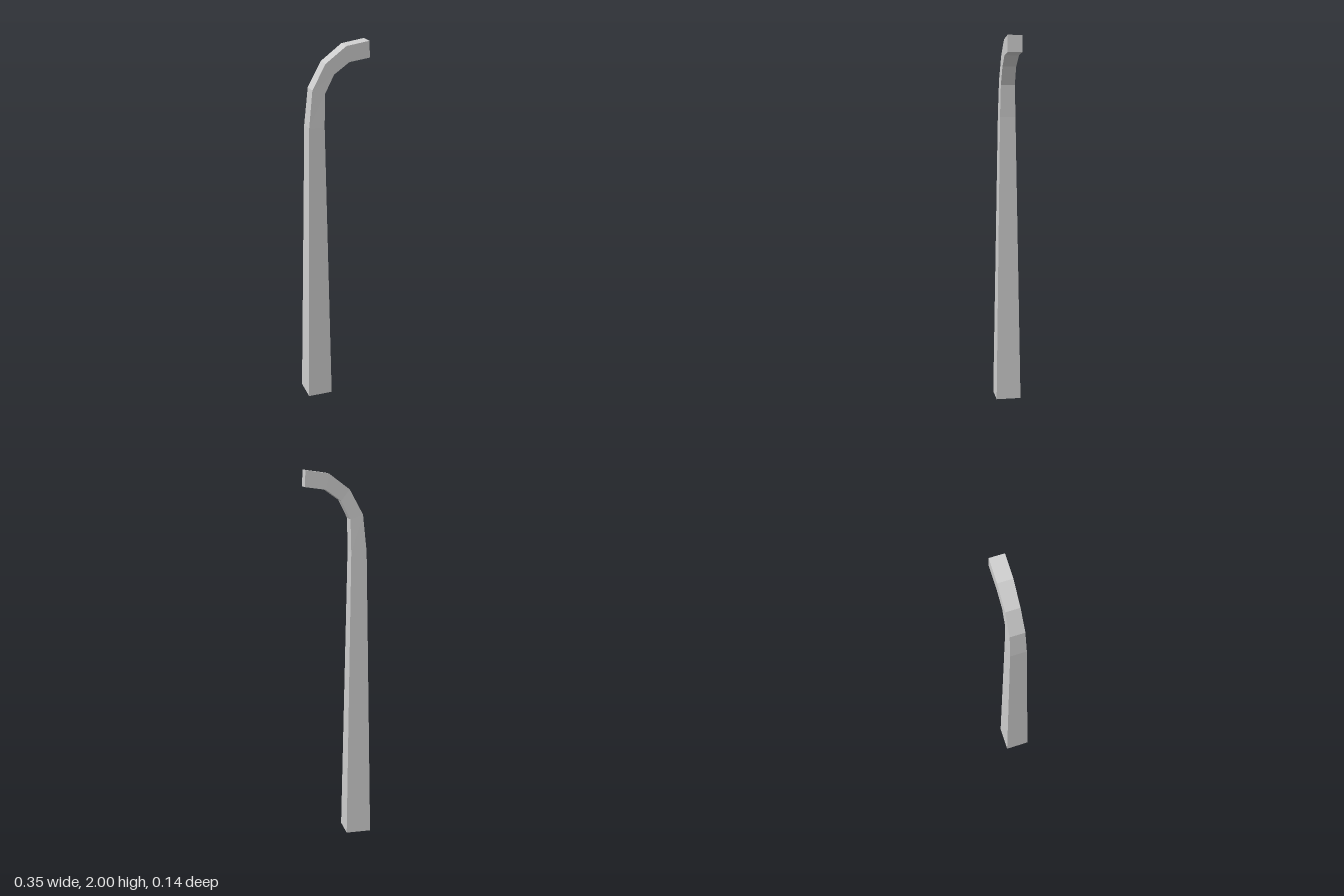
import * as THREE from 'three';

// Square cross-sections along the post: outer x, y, inner x, y, half depth
const sections = [
  [-0.177, 0, -0.041, 0, 0.068],
  [-0.151, 1.575, -0.068, 1.575, 0.042],
  [-0.131, 1.77, -0.064, 1.747, 0.038],
  [-0.06, 1.9, -0.015, 1.842, 0.0365],
  [0.05, 1.982, 0.066, 1.9, 0.038],
  [0.172, 2, 0.176, 1.915, 0.0385],
];

export function createModel() {
  const group = new THREE.Group();
  const points = [];
  const quad = (a, b, c, d) => points.push(...a, ...b, ...c, ...a, ...c, ...d);

  // Four corners of each section, counter-clockwise seen from the far end
  const rings = sections.map(([ox, oy, ix, iy, h]) => [
    [ox, oy, h], [ix, iy, h], [ix, iy, -h], [ox, oy, -h],
  ]);

  // Side walls between neighbouring sections
  for (let s = 0; s < rings.length - 1; s++) {
    for (let i = 0; i < 4; i++) {
      const j = (i + 1) % 4;
      quad(rings[s][i], rings[s][j], rings[s + 1][j], rings[s + 1][i]);
    }
  }

  // Closed tip; the foot stays open
  quad(...rings[rings.length - 1]);

  const geometry = new THREE.BufferGeometry();
  geometry.setAttribute('position', new THREE.Float32BufferAttribute(points, 3));
  geometry.computeVertexNormals();

  const post = new THREE.Mesh(geometry, new THREE.MeshStandardMaterial({
    color: 0xcccccc, flatShading: true, side: THREE.DoubleSide,
  }));
  post.name = 'curvedPost';
  group.add(post);
  return group;
}
